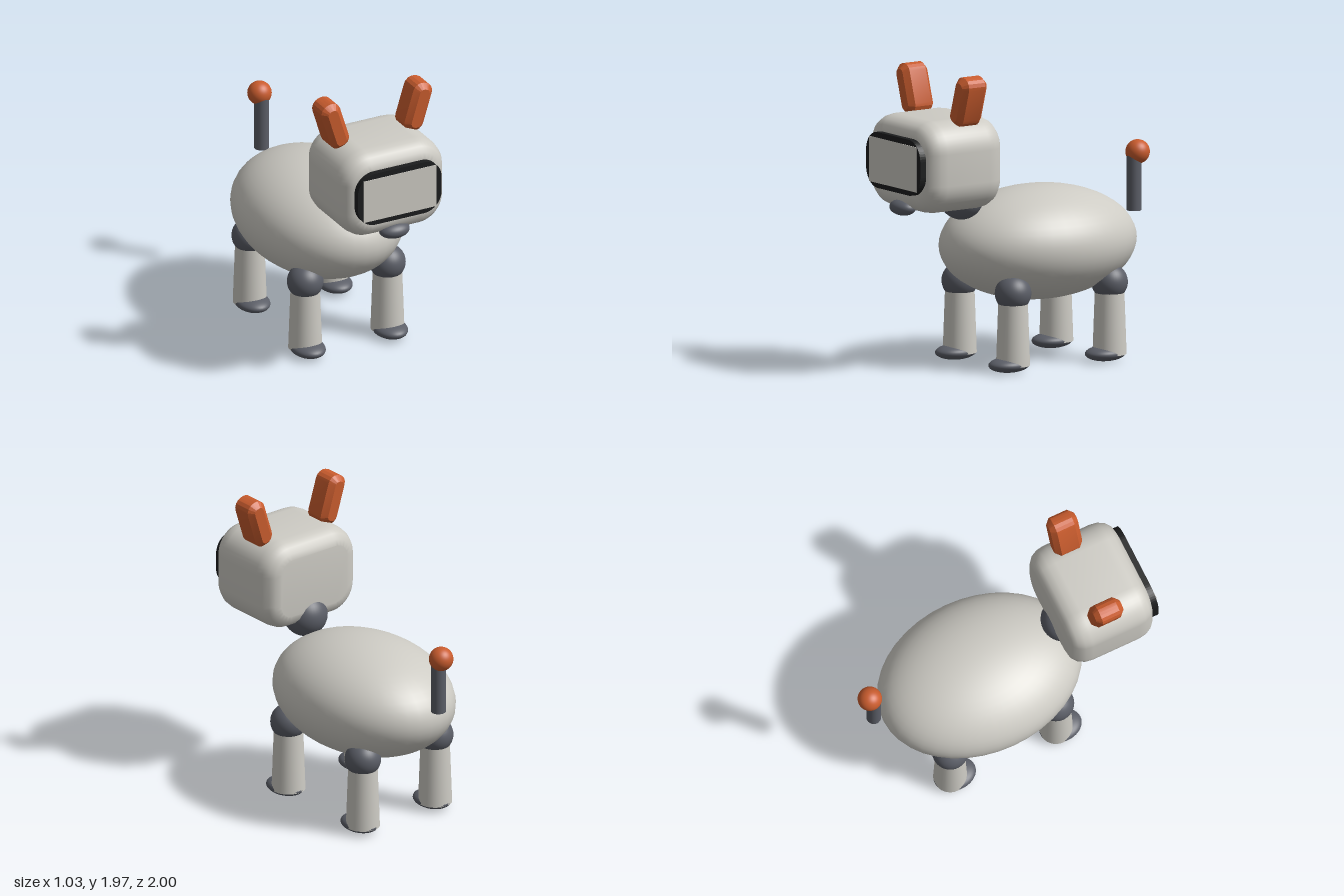
import * as THREE from 'three';
import { toCreasedNormals } from 'three/addons/utils/BufferGeometryUtils.js';

const material = (name, color, flatShading = false) => {
  const m = new THREE.MeshStandardMaterial({ color, flatShading });
  m.name = name;
  return m;
};

// Rounded rectangle extruded along z with bevelled rims, centred on the origin
function roundedSlab(w, h, d, { radius, size, thickness, segments, curve }) {
  const x = w / 2 - size, y = h / 2 - size, r = radius;
  const s = new THREE.Shape();
  s.absarc(x - r, y - r, r, 0, Math.PI / 2);
  s.absarc(-x + r, y - r, r, Math.PI / 2, Math.PI);
  s.absarc(-x + r, -y + r, r, Math.PI, Math.PI * 1.5);
  s.absarc(x - r, -y + r, r, Math.PI * 1.5, Math.PI * 2);
  s.closePath();
  const geo = new THREE.ExtrudeGeometry(s, {
    depth: d - 2 * thickness, bevelEnabled: size > 0, bevelSize: size,
    bevelThickness: thickness, bevelSegments: segments, curveSegments: curve,
  });
  return geo.translate(0, 0, -(d / 2 - thickness));
}

export function createModel() {
  const root = new THREE.Group();
  root.name = 'robotDog';

  const shell = material('pale grey shell', 0xcdcbc4);
  const joint = material('slate grey joints', 0x5b5e67);
  const orange = material('orange accents', 0xc95c2e);
  orange.flatShading = false;
  const black = material('black visor', 0x1c1d1e);

  const add = (name, geo, mat, x, y, z, parent = root) => {
    const mesh = new THREE.Mesh(geo, mat);
    mesh.name = name;
    mesh.position.set(x, y, z);
    parent.add(mesh);
    return mesh;
  };
  const ellipsoid = (rx, ry, rz) => new THREE.SphereGeometry(1, 40, 28).scale(rx, ry, rz);

  // Body and neck
  add('body', ellipsoid(0.515, 0.37, 0.69), shell, 0, 0.775, -0.137);
  add('neck', ellipsoid(0.145, 0.145, 0.145), joint, 0, 1.12, 0.462);

  // Head with visor, screen and nose
  const headGeo = roundedSlab(0.755, 0.6, 0.59,
    { radius: 0.1, size: 0.1, thickness: 0.13, segments: 4, curve: 6 });
  add('head', toCreasedNormals(headGeo, 0.7), shell, 0, 1.38, 0.662);
  const visorGeo = roundedSlab(0.61, 0.365, 0.05,
    { radius: 0.13, size: 0, thickness: 0, segments: 1, curve: 6 });
  add('visor', visorGeo, black, 0, 1.39, 0.971);
  add('screen', new THREE.BoxGeometry(0.53, 0.295, 0.008), shell, 0, 1.388, 0.996);
  add('nose', ellipsoid(0.105, 0.053, 0.076), joint, 0, 1.1, 0.921);

  // Ears, chamfered and leaning outwards
  const earGeo = toCreasedNormals(roundedSlab(0.14, 0.335, 0.195,
    { radius: 0.03, size: 0.034, thickness: 0.034, segments: 1, curve: 2 }), 0.2);
  for (const side of [-1, 1]) {
    const ear = add(side > 0 ? 'leftEar' : 'rightEar', earGeo, orange, side * 0.303, 1.805, 0.617);
    ear.rotation.z = -side * 0.3;
  }

  // Legs: ball joint, tapered shank and flattened foot
  const jointGeo = ellipsoid(0.118, 0.118, 0.118);
  const shankGeo = new THREE.CylinderGeometry(0.095, 0.11, 0.42, 32);
  const footGeo = ellipsoid(0.11, 0.05, 0.143);
  for (const [end, z] of [['front', 0.265], ['back', -0.492]]) {
    for (const side of [-1, 1]) {
      const leg = new THREE.Group();
      leg.name = end + (side > 0 ? 'Left' : 'Right') + 'Leg';
      leg.position.set(side * 0.3, 0, z);
      add('legJoint', jointGeo, joint, 0, 0.515, 0, leg);
      add('shank', shankGeo, shell, 0, 0.255, 0, leg);
      add('foot', footGeo, joint, 0, 0.052, 0.032, leg);
      root.add(leg);
    }
  }

  // Tail post with ball tip
  add('tail', new THREE.CylinderGeometry(0.048, 0.048, 0.36, 24), joint, 0, 1.08, -0.893);
  add('tailTip', ellipsoid(0.079, 0.079, 0.079), orange, 0, 1.28, -0.921);

  return root;
}
